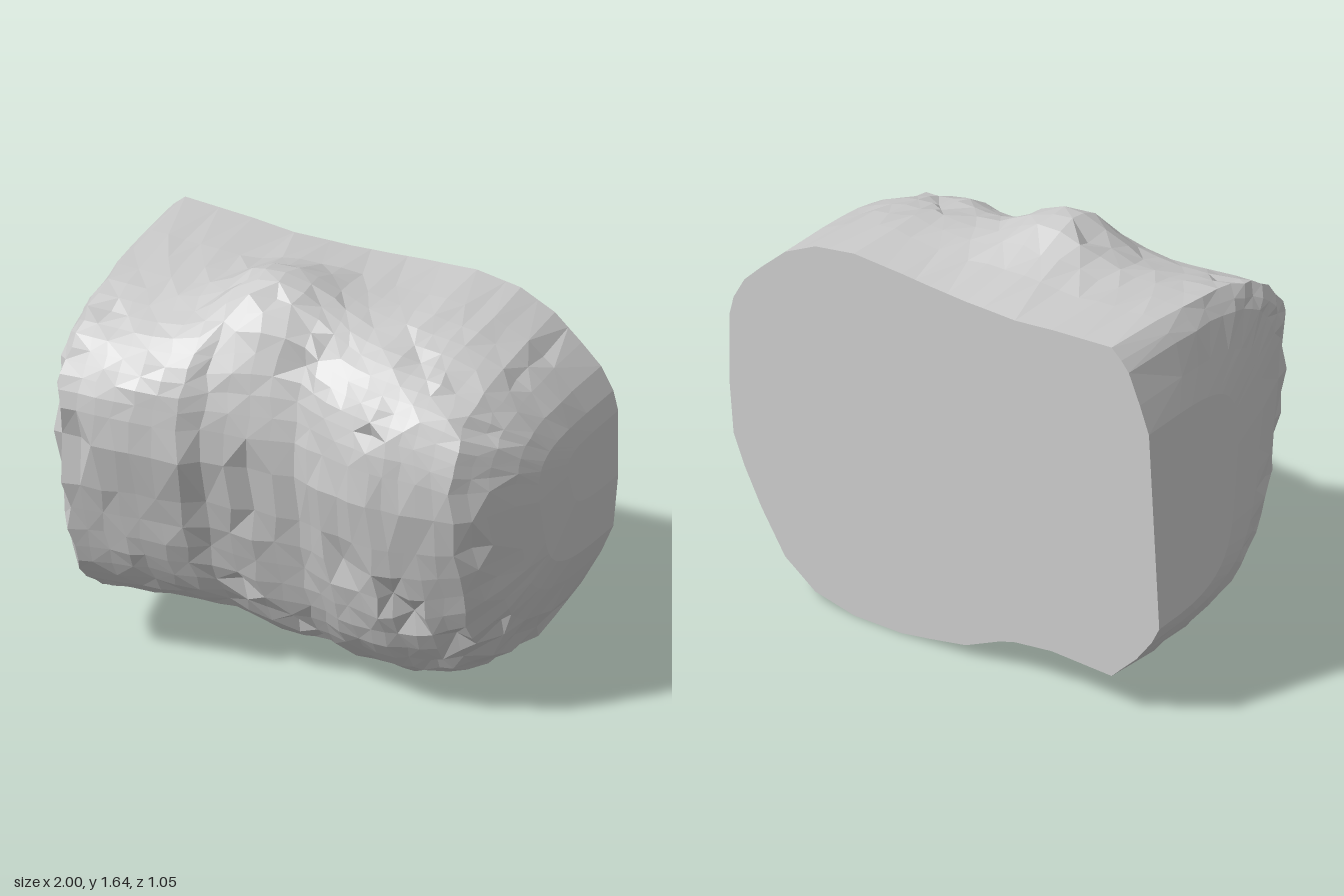
import * as THREE from 'three';

const BACK = -0.52;
const SEG = 28;

// Stations along the block: x, top y, bottom y, front z
const STATIONS = [
  [-1.00, 1.22, 0.42, 0.04],
  [-0.96, 1.33, 0.35, 0.25],
  [-0.89, 1.45, 0.26, 0.40],
  [-0.78, 1.53, 0.15, 0.53],
  [-0.50, 1.51, 0.16, 0.50],
  [-0.33, 1.49, 0.14, 0.46],
  [-0.26, 1.49, 0.12, 0.39],
  [-0.10, 1.49, 0.05, 0.35],
  [0.07, 1.50, 0.02, 0.30],
  [0.20, 1.51, 0.00, 0.34],
  [0.42, 1.52, 0.00, 0.40],
  [0.60, 1.49, 0.04, 0.38],
  [0.74, 1.42, 0.14, 0.35],
  [0.85, 1.32, 0.31, 0.23],
  [0.93, 1.24, 0.46, 0.12],
  [0.98, 1.15, 0.58, 0.03],
  [1.00, 1.07, 0.80, -0.15],
];

function seeded(seed) {
  return () => {
    seed = (seed * 16807) % 2147483647;
    return seed / 2147483647;
  };
}

// Split long gaps between stations so facets stay even
function refine(stations) {
  const out = [];
  for (let s = 0; s < stations.length - 1; s++) {
    const a = stations[s], b = stations[s + 1];
    const n = Math.max(1, Math.round((b[0] - a[0]) / 0.07));
    for (let k = 0; k < n; k++) out.push(a.map((v, j) => v + (b[j] - v) * k / n));
  }
  out.push(stations[stations.length - 1]);
  return out;
}

// Broad hump on the top, steeper toward the left-hand side and the front
function hump(x, z) {
  const dx = (x + 0.14) / (x < -0.14 ? 0.2 : 0.26);
  const dz = (z - 0.08) / (z < 0.08 ? 0.3 : 0.26);
  return 0.2 * Math.exp(-dx * dx - dz * dz);
}

// One D-shaped section: square shoulder above, undercut slope below
function section([x, top, bottom, front], rand) {
  const mid = bottom + (top - bottom) * 0.64;
  const end = THREE.MathUtils.smoothstep(Math.abs(x), 0.78, 1);
  const points = [];
  for (let i = 0; i <= SEG; i++) {
    const a = Math.PI * i / SEG;
    const c = Math.cos(a), s = Math.max(0, Math.sin(a));
    const square = c > 0 || x > 0 ? end : 0;
    const n = (c > 0 ? 3.3 : 2.8 - 0.3 * x) + square;
    const v = Math.sign(c) * Math.pow(Math.abs(c), 2 / n);
    const onBack = i === 0 || i === SEG;
    const undercut = 1 - 0.06 * Math.sin(Math.PI * Math.max(0, -v));
    const u = onBack ? 0 : Math.pow(s, 2 / n) * undercut;
    let y = mid + v * (v > 0 ? top - mid : mid - bottom);
    let z = BACK + u * (front - BACK);
    y += hump(x, z) * THREE.MathUtils.smoothstep(v, 0.2, 0.8);
    // Ends lean inward toward the front, left one also toward the top
    let px = x - Math.sign(x) * end * 0.06 * (z - BACK);
    if (x < 0) px += end * 0.06 * (y - 0.45);
    // Rough surface with occasional chips
    const jx = rand() - 0.5, jr = rand() - 0.5, chip = rand() < 0.05;
    if (!onBack) {
      const k = 1 + (1 - end) * (jr * 0.016 - (chip ? 0.04 : 0));
      y = Math.max(0, mid + (y - mid) * k);
      z = BACK + (z - BACK) * k;
      px += (1 - end) * jx * 0.025;
    }
    points.push([px, y, z]);
  }
  return points;
}

function rockGeometry() {
  const rand = seeded(90217);
  const rings = refine(STATIONS).map(st => section(st, rand));
  const count = SEG + 1;
  const positions = rings.flat(2);
  const index = [];
  // Skin, wrapping round the flat back
  for (let r = 0; r < rings.length - 1; r++) {
    for (let i = 0; i < count; i++) {
      const j = (i + 1) % count;
      const a = r * count + i, b = r * count + j;
      const c = a + count, d = b + count;
      if ((r + i) % 2) index.push(a, b, c, c, b, d);
      else index.push(a, b, d, a, d, c);
    }
  }
  // End faces
  [0, rings.length - 1].forEach((r, side) => {
    const centre = positions.length / 3;
    const mean = [0, 1, 2].map(k => rings[r].reduce((t, p) => t + p[k], 0) / count);
    positions.push(...mean);
    for (let i = 0; i < count; i++) {
      const a = r * count + i, b = r * count + (i + 1) % count;
      if (side) index.push(centre, a, b);
      else index.push(centre, b, a);
    }
  });
  const geometry = new THREE.BufferGeometry();
  geometry.setAttribute('position', new THREE.Float32BufferAttribute(positions, 3));
  geometry.setIndex(index);
  geometry.computeVertexNormals();
  return geometry;
}

export function createModel() {
  const group = new THREE.Group();
  group.name = 'rock';
  const material = new THREE.MeshStandardMaterial({ color: 0xcccccc, flatShading: true });
  const rock = new THREE.Mesh(rockGeometry(), material);
  rock.name = 'rockBody';
  group.add(rock);
  return group;
}
